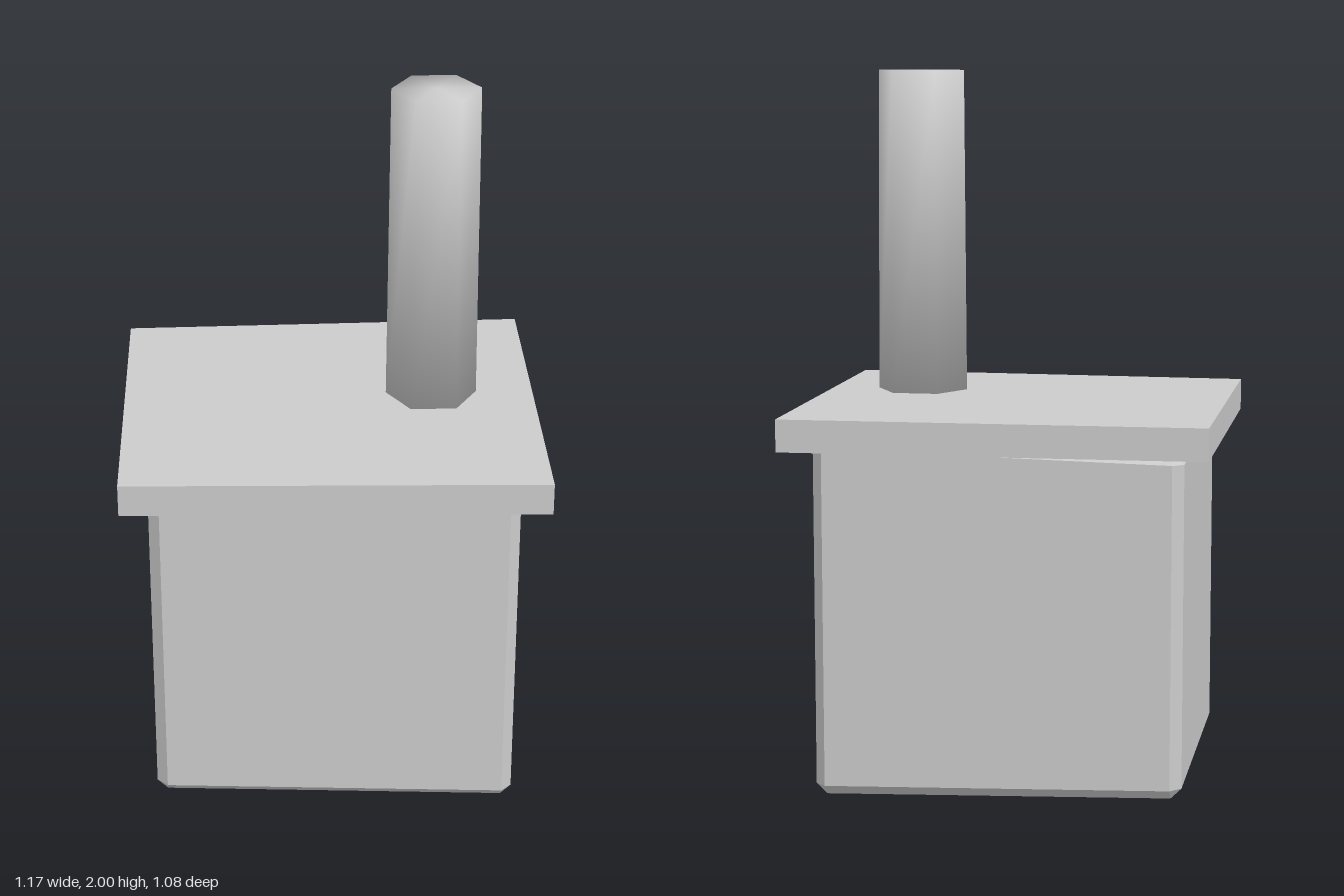
import * as THREE from 'three';
import { ConvexGeometry } from 'three/addons/geometries/ConvexGeometry.js';

const grey = new THREE.MeshStandardMaterial({ color: 0xcccccc });
grey.name = 'plainGrey';

function addPart(group, name, geometry) {
  const mesh = new THREE.Mesh(geometry, grey);
  mesh.name = name;
  group.add(mesh);
  return mesh;
}

// Everything shrinks slightly towards the -x end
const taper = (x, halfWidth) => 0.9725 + 0.0275 * x / halfWidth;

// Block with bevelled edges: each corner is cut into three points
function bodyGeometry(w, h, d, bevel) {
  const points = [];
  for (const sx of [-1, 1]) for (const sy of [-1, 1]) for (const sz of [-1, 1]) {
    for (let axis = 0; axis < 3; axis++) {
      const inset = [bevel, bevel, bevel];
      inset[axis] = 0;
      const x = sx * (w - inset[0]);
      const f = taper(x, w);
      points.push(new THREE.Vector3(x, sy * (h - inset[1]) * f, sz * (d - inset[2]) * f));
    }
  }
  return new ConvexGeometry(points);
}

// Flat slab, shallower at its -x end
function lidGeometry(w, h, d) {
  const g = new THREE.BoxGeometry(2 * w, h, 2 * d);
  const p = g.attributes.position;
  for (let i = 0; i < p.count; i++) p.setZ(i, p.getZ(i) * taper(p.getX(i), w));
  g.computeVertexNormals();
  return g;
}

// Six-sided post, smooth shaded across its sides and caps
function postGeometry(rTop, rBottom, h) {
  const g = new THREE.CylinderGeometry(rTop, rBottom, h, 6, 1, false, Math.PI / 2);
  const p = g.attributes.position, n = g.attributes.normal;
  for (let i = 0; i < p.count; i++) {
    const x = p.getX(i), z = p.getZ(i), r = Math.hypot(x, z), up = Math.sign(p.getY(i));
    if (r < 0.001) n.setXYZ(i, 0, up, 0);
    else n.setXYZ(i, 0.79 * x / r, 0.61 * up, 0.79 * z / r);
  }
  return g;
}

export function createModel() {
  const model = new THREE.Group();
  model.name = 'boxWithPost';

  addPart(model, 'body', bodyGeometry(0.51, 0.505, 0.46, 0.03)).position.y = 0.505;
  addPart(model, 'lid', lidGeometry(0.585, 0.09, 0.542)).position.y = 1.025;
  // The post floats just above the lid
  addPart(model, 'post', postGeometry(0.123, 0.129, 0.91)).position.set(0.29, 1.545, 0);

  return model;
}
